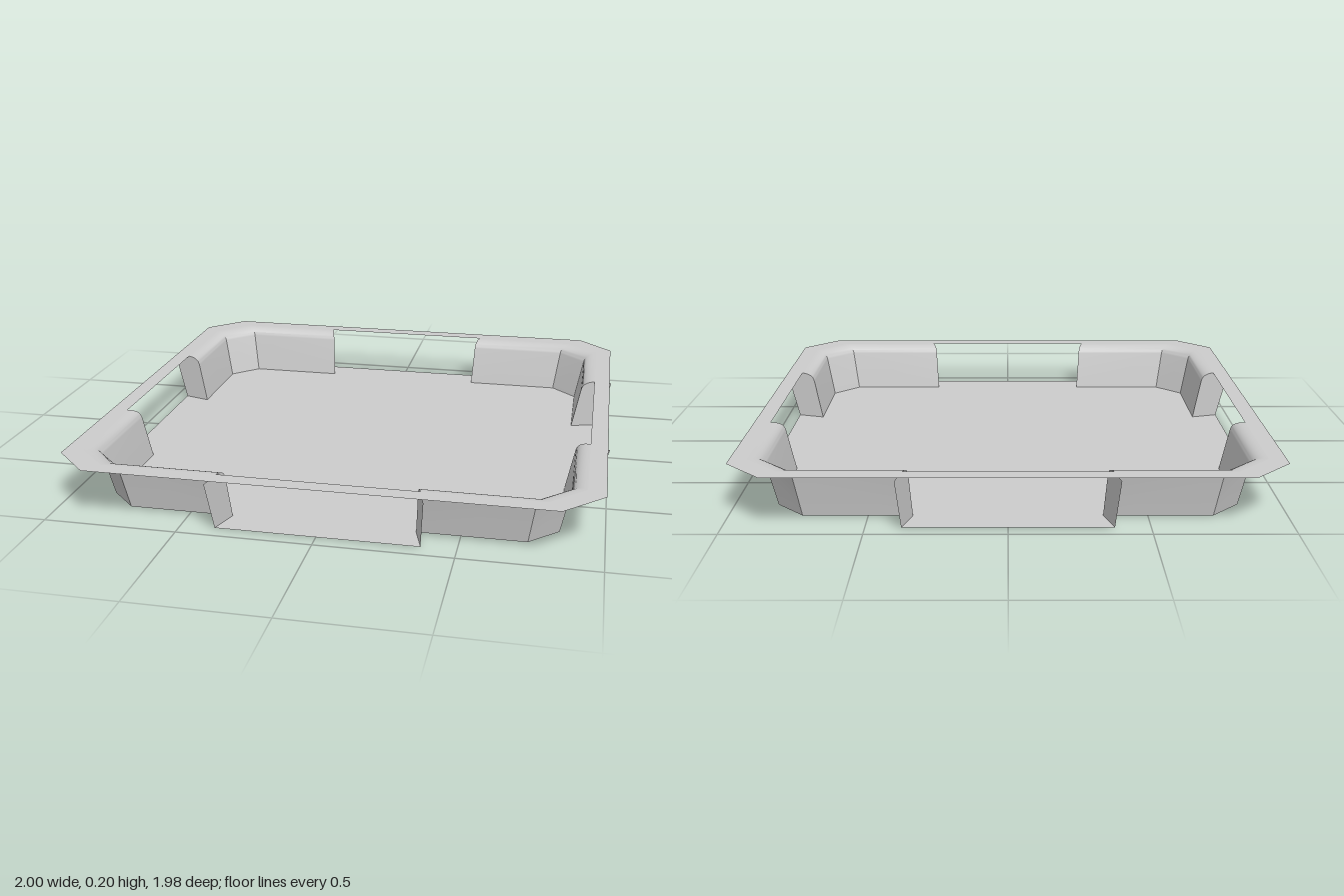
import * as THREE from 'three';
import { toCreasedNormals } from 'three/addons/utils/BufferGeometryUtils.js';

const HX = 0.84, HZ = 0.83;      // half size of the floor at the foot of the walls
const RIM_Y = 0.2;
const RIM_IN = 0.088, RIM_OUT = 0.153; // rim edges, measured outward from the wall foot
const SILL = 0.11;               // how far the floor runs out in each opening

const material = new THREE.MeshStandardMaterial({ color: 0xcccccc, side: THREE.DoubleSide });

// Wall section as (outward offset, height): sloped face, then a rounded lip
const lip = new THREE.CubicBezierCurve(
  new THREE.Vector2(0.033, 0.165), new THREE.Vector2(0.037, 0.187),
  new THREE.Vector2(0.055, RIM_Y), new THREE.Vector2(RIM_IN, RIM_Y));
const profile = [new THREE.Vector2(0, 0), ...lip.getPoints(8)];

// Plan positions at offset t, in the +x +z quadrant
const jambAlong = t => 0.34 + 0.3 * t;
const corner = t => [
  [HX + t, 0.725 + 0.75 * t],
  [0.735 + 0.75 * t, HZ + t],
];
const quarter = t => [[HX + t, jambAlong(t)], ...corner(t), [jambAlong(t), HZ + t]];

const quadrants = [[1, 1], [-1, 1], [-1, -1], [1, -1]];

// Runs a quarter outline round all four quadrants in order
function outline(points) {
  return quadrants.flatMap(([sx, sz]) => {
    const q = points.map(([x, z]) => new THREE.Vector2(x * sx, -z * sz));
    return sx * sz > 0 ? q : q.reverse();
  });
}

function addMesh(parent, name, geometry) {
  const mesh = new THREE.Mesh(geometry, material);
  mesh.name = name;
  parent.add(mesh);
}

// Wall that wraps one chamfered corner
function cornerWall(sx, sz) {
  const pos = [], index = [], cols = 4;
  for (const p of profile) {
    for (const [x, z] of quarter(p.x)) pos.push(x * sx, p.y, z * sz);
  }
  for (let r = 0; r < profile.length - 1; r++) {
    for (let c = 0; c < cols - 1; c++) {
      const a = r * cols + c, b = a + 1, d = a + cols, e = d + 1;
      if (sx * sz > 0) index.push(a, b, d, b, e, d);
      else index.push(a, d, b, b, d, e);
    }
  }
  const g = new THREE.BufferGeometry();
  g.setAttribute('position', new THREE.Float32BufferAttribute(pos, 3));
  g.setIndex(index);
  return toCreasedNormals(g, 0.6);
}

// Flat end plate that closes a wall beside an opening
function jamb(sx, sz, onSide) {
  const shape = new THREE.Shape([
    ...profile, new THREE.Vector2(0.16, 0.19), new THREE.Vector2(SILL, 0),
  ]);
  const g = new THREE.ShapeGeometry(shape);
  const p = g.attributes.position;
  for (let i = 0; i < p.count; i++) {
    const t = p.getX(i), y = p.getY(i);
    if (onSide) p.setXYZ(i, sx * (HX + t), y, sz * jambAlong(t));
    else p.setXYZ(i, sx * jambAlong(t), y, sz * (HZ + t));
  }
  // Keep the plate facing the opening
  if (onSide ? sx * sz < 0 : sx * sz > 0) {
    g.setIndex(Array.from(g.index.array).reverse());
  }
  g.computeVertexNormals();
  return g;
}

export function createModel() {
  const tray = new THREE.Group();
  tray.name = 'tray';

  // Floor, running out to a sill in the middle of each side
  const floorPoints = [
    [HX + SILL, jambAlong(SILL)], ...quarter(0), [jambAlong(SILL), HZ + SILL],
  ];
  const floor = new THREE.ShapeGeometry(new THREE.Shape(outline(floorPoints)));
  addMesh(tray, 'floor', floor.rotateX(-Math.PI / 2));

  // Flat rim all the way round
  const rimShape = new THREE.Shape(outline(corner(RIM_OUT)));
  rimShape.holes.push(new THREE.Path(outline(corner(RIM_IN))));
  const rim = new THREE.ShapeGeometry(rimShape);
  addMesh(tray, 'rim', rim.rotateX(-Math.PI / 2).translate(0, RIM_Y, 0));

  // Four corner walls, each with two end plates
  for (const [sx, sz] of quadrants) {
    const group = new THREE.Group();
    group.name = `${sz > 0 ? 'front' : 'back'}${sx > 0 ? 'Left' : 'Right'}Corner`;
    addMesh(group, 'cornerWall', cornerWall(sx, sz));
    addMesh(group, 'sideJamb', jamb(sx, sz, true));
    addMesh(group, 'endJamb', jamb(sx, sz, false));
    tray.add(group);
  }
  return tray;
}
